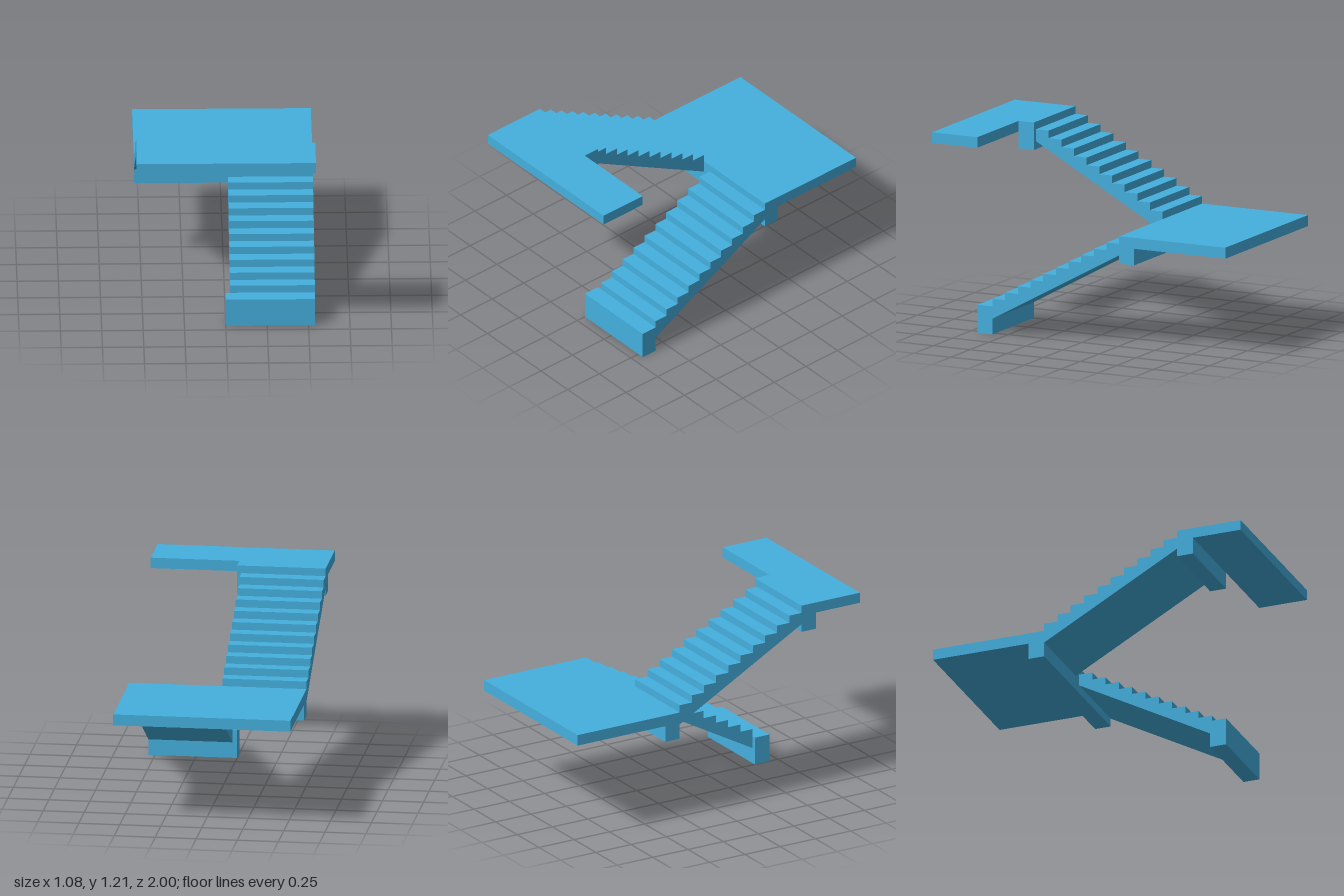
import * as THREE from 'three';

const HALF = 0.54;          // half width of the staircase
const GAP = 0.027;          // half width of the stairwell
const Z_FRONT = 0.587, Z_BACK = -0.277;
const STEPS = 10, RISE = 0.047;
const material = new THREE.MeshStandardMaterial({ color: 0x45b0df });

// Box given by its limits on each axis
function slab(name, [x0, x1], [y0, y1], [z0, z1]) {
  const mesh = new THREE.Mesh(new THREE.BoxGeometry(x1 - x0, y1 - y0, z1 - z0), material);
  mesh.position.set((x0 + x1) / 2, (y0 + y1) / 2, (z0 + z1) / 2);
  mesh.name = name;
  return mesh;
}

// Stepped profile with a straight sloping underside, extruded across x
function flight(name, [x0, x1], zStart, zEnd, yBase, underStart, underEnd) {
  const run = (zEnd - zStart) / STEPS;
  const profile = new THREE.Shape();
  profile.moveTo(zStart, underStart);
  for (let i = 0; i < STEPS; i++) {
    const y = yBase + (i + 1) * RISE;
    profile.lineTo(zStart + i * run, y);
    profile.lineTo(zStart + (i + 1) * run, y);
  }
  profile.lineTo(zEnd, underEnd);
  profile.closePath();
  const geometry = new THREE.ExtrudeGeometry(profile, { depth: x1 - x0, bevelEnabled: false });
  geometry.rotateY(-Math.PI / 2).translate(x1, 0, 0);
  const mesh = new THREE.Mesh(geometry, material);
  mesh.name = name;
  return mesh;
}

export function createModel() {
  const group = new THREE.Group();
  group.name = 'staircase';
  group.add(
    // Lower flight rising to the back
    slab('footing', [0, HALF], [0, 0.173], [Z_FRONT, 0.69]),
    flight('lowerFlight', [GAP, HALF], Z_FRONT, Z_BACK, 0.173, 0.097, 0.572),
    // Half landing with its beam
    slab('halfLanding', [-HALF, HALF], [0.622, 0.69], [-1, Z_BACK]),
    slab('halfLandingBeam', [-HALF, HALF], [0.52, 0.622], [-0.378, Z_BACK]),
    // Upper flight returning to the front
    flight('upperFlight', [-HALF, -GAP], Z_BACK, Z_FRONT, 0.69, 0.612, 1.087),
    slab('topBeam', [-HALF, 0], [1.037, 1.207], [Z_FRONT, 0.69]),
    slab('topLanding', [-HALF, HALF], [1.142, 1.207], [0.69, 1]),
  );
  return group;
}
